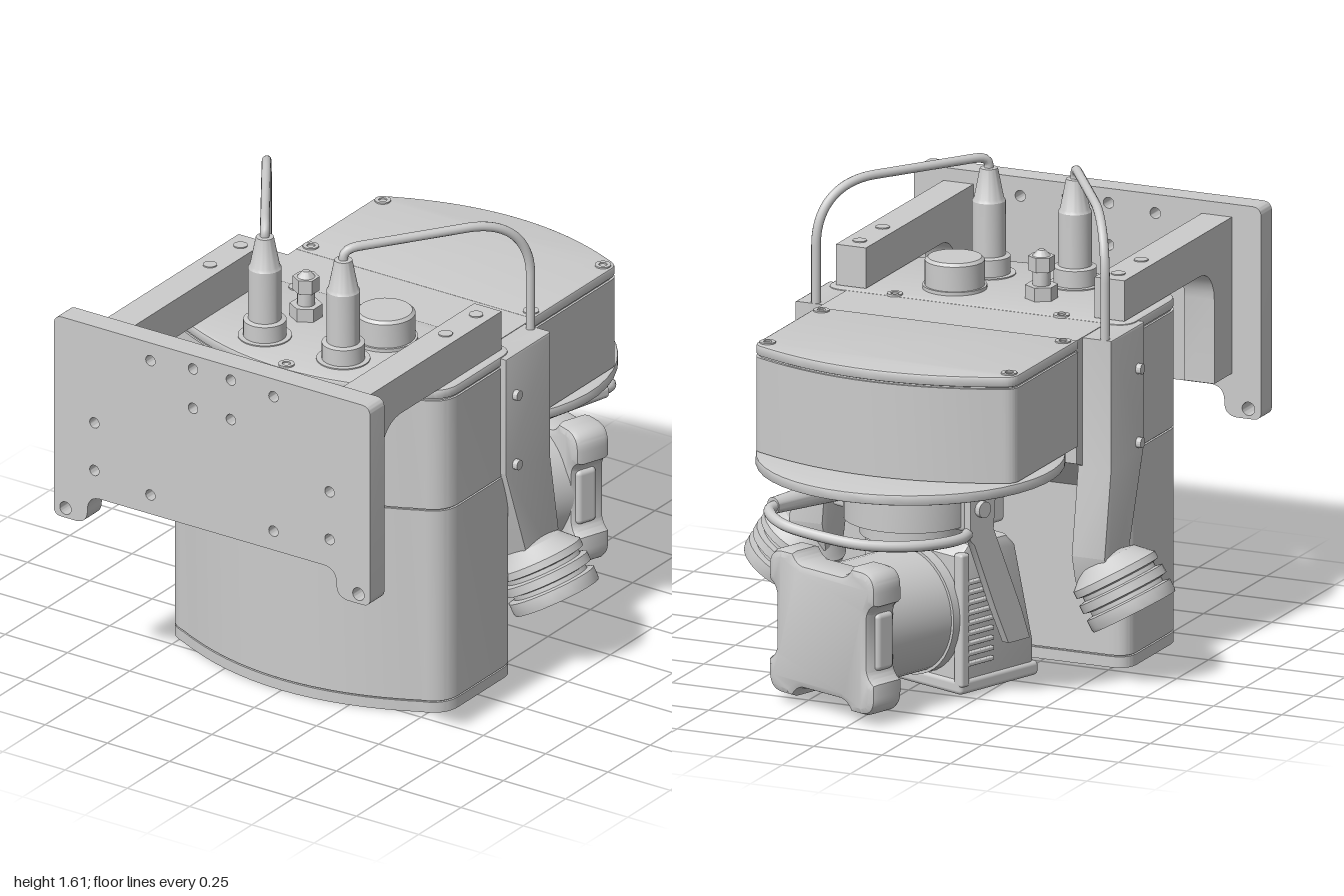
import * as THREE from 'three';
import { toCreasedNormals } from 'three/addons/utils/BufferGeometryUtils.js';
import { RoundedBoxGeometry } from 'three/addons/geometries/RoundedBoxGeometry.js';

export function createModel() {
  const model = new THREE.Group();
  const mat = new THREE.MeshStandardMaterial({ color: 0xcccccc });
  const V = (x, y, z) => new THREE.Vector3(x, y, z);

  const add = (name, geo, x = 0, y = 0, z = 0, parent = model) => {
    const m = new THREE.Mesh(geo, mat);
    m.name = name;
    m.position.set(x, y, z);
    parent.add(m);
    return m;
  };
  const extrude = (shape, depth, bevel = 0) => {
    const g = new THREE.ExtrudeGeometry(shape, {
      depth: depth - 2 * bevel, bevelEnabled: bevel > 0, bevelSize: bevel, bevelThickness: bevel,
      bevelOffset: -bevel, bevelSegments: 2, curveSegments: 16,
    });
    g.translate(0, 0, bevel);
    return toCreasedNormals(g, 0.5);
  };
  // Footprint (x, -z) raised from y0 to y1
  const slab = (name, shape, y0, y1, bevel = 0) =>
    add(name, extrude(shape, y1 - y0, bevel).rotateX(-Math.PI / 2), 0, y0, 0);
  // Side profile of [z, y] points, extruded to a given width centred on x
  const profile = (name, pts, x, width, bevel = 0, parent = model) => {
    const s = new THREE.Shape(pts.map(([z, y]) => new THREE.Vector2(-z, y)));
    return add(name, extrude(s, width, bevel).rotateY(Math.PI / 2), x - width / 2, 0, 0, parent);
  };
  const cyl = (name, r0, r1, h, x, y, z, seg = 32, parent = model) =>
    add(name, toCreasedNormals(new THREE.CylinderGeometry(r1, r0, h, seg), 0.6), x, y + h / 2, z, parent);
  const lathe = (name, pts, x, y, z, parent = model) =>
    add(name, toCreasedNormals(new THREE.LatheGeometry(pts.map(p => new THREE.Vector2(...p)), 40), 0.5), x, y, z, parent);
  const hole = (shape, x, y, r) => shape.holes.push(new THREE.Path().absarc(x, y, r, 0, Math.PI * 2, true));
  const mirrored = fn => [-1, 1].forEach(fn);

  // Mounting plate with two lower tabs and drilled holes
  const plate = new THREE.Shape();
  plate.moveTo(-0.6, 1.375).quadraticCurveTo(-0.635, 1.375, -0.635, 1.34).lineTo(-0.635, 0.67);
  plate.quadraticCurveTo(-0.635, 0.64, -0.605, 0.64).lineTo(-0.55, 0.64).quadraticCurveTo(-0.5, 0.64, -0.5, 0.69);
  plate.quadraticCurveTo(-0.5, 0.745, -0.445, 0.745).lineTo(0.445, 0.745).quadraticCurveTo(0.5, 0.745, 0.5, 0.69);
  plate.quadraticCurveTo(0.5, 0.64, 0.55, 0.64).lineTo(0.605, 0.64).quadraticCurveTo(0.635, 0.64, 0.635, 0.67);
  plate.lineTo(0.635, 1.34).quadraticCurveTo(0.635, 1.375, 0.6, 1.375);
  mirrored(s => {
    [[0.247, 1.31], [0.076, 1.325], [0.076, 1.18], [0.472, 1.02], [0.472, 0.845], [0.247, 0.815]]
      .forEach(([x, y]) => hole(plate, s * x, y, 0.019));
    hole(plate, s * 0.588, 0.675, 0.023);
  });
  add('mountingPlate', extrude(plate, 0.085), 0, 0, 0.915);

  // Angle brackets with a filleted inner corner
  const fillet = [0, 1, 2, 3, 4, 5, 6].map(i => {
    const a = i / 6 * Math.PI / 2;
    return [0.665 + 0.11 * Math.sin(a), 1.08 + 0.11 * Math.cos(a)];
  });
  mirrored(s => {
    profile('bracket', [[0.915, 1.33], [0.065, 1.33], [0.065, 1.19], ...fillet, [0.775, 0.79], [0.915, 0.79]],
      s * 0.473, 0.11);
    [0.135, 0.315].forEach(z => cyl('bracketBolt', 0.024, 0.024, 0.006, s * 0.473, 1.328, z, 16));
  });

  // Main housing: flat back, bowed front
  const footprint = (k = 0) => {
    const s = new THREE.Shape(), w = 0.558 - k, b = -0.03 - k;
    s.moveTo(-w + 0.07, b).quadraticCurveTo(-w, b, -w, b - 0.07).lineTo(-w, -0.36);
    s.quadraticCurveTo(-w, -0.44 + k, -0.48, -0.465 + k).quadraticCurveTo(0, -0.715 + k, 0.48, -0.465 + k);
    s.quadraticCurveTo(w, -0.44 + k, w, -0.36).lineTo(w, b - 0.07).quadraticCurveTo(w, b, w - 0.07, b);
    return s;
  };
  slab('housingCore', footprint(0.008), 0.035, 1.17);
  slab('lowerHousing', footprint(), 0.043, 0.742);
  slab('upperHousing', footprint(), 0.748, 1.147);
  slab('housingLid', footprint(), 1.152, 1.188, 0.008);

  // Base plate with four recessed windows
  const base = footprint();
  const windows = [[0.32, 0.25, 0.195], [-0.32, 0.25, 0.195], [0, 0.165, 0.118], [0, 0.43, 0.118]];
  windows.forEach(([x, z, r]) => hole(base, x, -z, r));
  slab('basePlate', base, 0, 0.038);
  windows.forEach(([x, z, r]) =>
    add('windowRim', new THREE.TorusGeometry(r - 0.005, 0.01, 8, 40).rotateX(Math.PI / 2), x, 0.012, z));

  // Neck and rear head
  profile('neck', [[0.05, 1.185], [-0.2, 1.185], [-0.2, 0.76], [-0.12, 0.73], [0.05, 0.6]], 0, 0.95);
  const headShape = k => {
    const s = new THREE.Shape(), w = 0.478 - k;
    s.moveTo(-w, 0.195).lineTo(w, 0.195).lineTo(w, 0.66 - k).quadraticCurveTo(w, 0.695 - k, w - 0.04, 0.71 - k);
    s.quadraticCurveTo(0, 0.91 - k, -w + 0.04, 0.71 - k).quadraticCurveTo(-w, 0.695 - k, -w, 0.66 - k);
    return s;
  };
  slab('rearHead', headShape(0), 0.82, 1.145);
  slab('rearHeadSeam', headShape(0.008), 1.14, 1.16);
  slab('rearHeadLid', headShape(0), 1.15, 1.188, 0.008);

  // Flat disc under the head, cut straight at the neck
  const disc = new THREE.Shape();
  const cut = Math.asin(0.285 / 0.515);
  disc.absarc(0, 0.485, 0.515, -cut, Math.PI + cut, false);
  slab('disc', disc, 0.778, 0.815, 0.006);
  slab('headFloor', headShape(0.02), 0.81, 0.825);

  // Lid screws
  const screws = [[0, 0.56]];
  mirrored(s => screws.push([s * 0.442, -0.66], [s * 0.442, -0.235], [s * 0.305, 0.05]));
  screws.forEach(([x, z]) => lathe('lidScrew', [[0.027, 0], [0.027, 0.014], [0.014, 0.014], [0.014, 0.009], [0, 0.009]], x, 1.179, z));

  // Plugs and cables on top
  [[-0.185, -0.55], [0.13, 0.508]].forEach(([px, ex]) => {
    lathe('plug', [[0.09, 0], [0.09, 0.012], [0.072, 0.012], [0.072, 0.07], [0.056, 0.075], [0.056, 0.26],
      [0.05, 0.27], [0.03, 0.372], [0, 0.375]], px, 1.18, 0.415);
    const path = new THREE.CurvePath();
    const at = (t, y) => V(px + (ex - px) * t, y, 0.415 - 0.55 * t);
    path.add(new THREE.LineCurve3(at(0, 1.53), at(0, 1.56)));
    path.add(new THREE.QuadraticBezierCurve3(at(0, 1.56), at(0, 1.592), at(0.09, 1.592)));
    path.add(new THREE.LineCurve3(at(0.09, 1.592), at(0.66, 1.592)));
    path.add(new THREE.CubicBezierCurve3(at(0.66, 1.592), at(0.88, 1.592), at(1, 1.51), at(1, 1.38)));
    path.add(new THREE.LineCurve3(at(1, 1.38), at(1, 1.17)));
    add('cable', new THREE.TubeGeometry(path, 70, 0.016, 12));
  });

  // Round knob and hexagonal valve
  lathe('knob', [[0.108, 0], [0.108, 0.015], [0.1, 0.015], [0.1, 0.1], [0.09, 0.11], [0, 0.11]], 0.16, 1.185, 0.21);
  cyl('valveBase', 0.055, 0.055, 0.05, -0.155, 1.185, 0.215, 6);
  cyl('valveStem', 0.03, 0.03, 0.07, -0.155, 1.23, 0.215, 20);
  cyl('valveCap', 0.045, 0.045, 0.05, -0.155, 1.285, 0.215, 6);
  cyl('valveTip', 0.03, 0.012, 0.02, -0.155, 1.335, 0.215, 20);

  // Side lamps on tapered arms
  mirrored(s => {
    profile('lampArm', [[0.115, 1.183], [-0.15, 1.183], [-0.15, 0.73], [-0.2, 0.44], [-0.17, 0.34], [-0.03, 0.34],
      [0, 0.44], [0.115, 0.76]], s * 0.517, 0.125, 0.008);
    [0.78, 1.035].forEach(y => cyl('armScrew', 0.018, 0.018, 0.035, s * 0.58, y - 0.0175, 0.06, 16).rotation.z = Math.PI / 2);
    const lamp = new THREE.Group();
    lamp.name = 'lamp';
    lamp.position.set(s * 0.64, 0.243, -0.097);
    lamp.rotation.z = s * Math.PI / 6;
    model.add(lamp);
    lathe('lampBody', [[0, 0.03], [0.115, 0.03], [0.125, 0], [0.152, 0], [0.155, 0.01], [0.155, 0.045], [0.132, 0.05],
      [0.132, 0.065], [0.155, 0.07], [0.155, 0.1], [0.132, 0.105], [0.132, 0.12], [0.152, 0.125], [0.152, 0.15],
      [0.14, 0.16], [0.1, 0.2], [0, 0.22]], 0, 0, 0, lamp);
  });

  // Turntable under the disc
  cyl('turntableTop', 0.21, 0.21, 0.025, 0, 0.757, -0.485, 40);
  cyl('turntableCollar', 0.18, 0.2, 0.03, 0, 0.73, -0.485, 40);
  cyl('turntable', 0.225, 0.225, 0.13, 0, 0.6, -0.485, 40);
  cyl('turntableFoot', 0.17, 0.17, 0.06, 0, 0.545, -0.485, 40);

  // Sensor unit, swivelled on the turntable axis
  const sensor = new THREE.Group();
  sensor.name = 'sensor';
  sensor.position.z = -0.485;
  sensor.rotation.y = -Math.PI / 9;
  model.add(sensor);
  const box = (name, w, h, d, r, x, y, z) => add(name, new RoundedBoxGeometry(w, h, d, 2, r), x, y, z, sensor);

  // Yoke holding the sensor
  box('crossBeam', 0.47, 0.14, 0.2, 0.015, 0, 0.655, 0.11);
  mirrored(s => {
    profile('yokePlate', [[0.28, 0.735], [0.02, 0.735], [0.02, 0.56], [0.04, 0.54], [0.14, 0.3], [0.2, 0.17],
      [0.3, 0.17], [0.26, 0.28], [0.13, 0.58], [0.14, 0.71], [0.28, 0.72]], s * 0.245, 0.03, 0, sensor);
    cyl('yokeBolt', 0.028, 0.028, 0.03, s * 0.265, 0.645, 0.07, 20, sensor).rotation.z = Math.PI / 2;
  });

  // Cable socket and the cable looping round the turntable
  box('socket', 0.08, 0.11, 0.12, 0.012, 0.22, 0.66, -0.05);
  cyl('socketSleeve', 0.045, 0.028, 0.34, 0.245, 0.495, -0.23, 24, sensor).rotation.x = -Math.PI / 2;
  const loop = new THREE.CatmullRomCurve3([V(0.245, 0.665, -0.38), V(0.225, 0.66, -0.44), V(0.13, 0.64, -0.475),
    V(0, 0.615, -0.43), V(-0.14, 0.595, -0.35), V(-0.25, 0.585, -0.2), V(-0.27, 0.58, -0.03), V(-0.2, 0.58, 0.08)]);
  add('sensorCable', new THREE.TubeGeometry(loop, 60, 0.019, 12), 0, 0, 0, sensor);

  // Sensor body with foot and cooling ribs
  profile('sensorBody', [[0.365, 0.04], [0.365, 0.14], [0.28, 0.49], [0.24, 0.53], [0.06, 0.53], [0.02, 0.49],
    [0.02, 0.04]], 0, 0.43, 0.015, sensor);
  box('sensorFoot', 0.45, 0.05, 0.37, 0.015, 0, 0.043, 0.195);
  mirrored(s => {
    for (let i = 0; i < 9; i++) box('coolingRib', 0.02, 0.014, 0.13, 0.004, s * 0.22, 0.12 + i * 0.035, 0.1);
    box('bodyFlange', 0.04, 0.46, 0.04, 0.01, s * 0.21, 0.275, 0.03);
  });

  // Sensor barrel and lobed end cap
  cyl('barrelFlange', 0.222, 0.222, 0.05, 0, 0.255, 0.005, 40, sensor).rotation.x = Math.PI / 2;
  cyl('barrel', 0.212, 0.212, 0.34, 0, 0.11, -0.15, 40, sensor).rotation.x = Math.PI / 2;
  const cap = new THREE.Shape();
  for (let i = 0; i < 4; i++) {
    const c = Math.cos(i * Math.PI / 2), n = Math.sin(i * Math.PI / 2);
    const p = (x, y) => [x * c - y * n, x * n + y * c];
    if (i === 0) cap.moveTo(...p(0.215, -0.09));
    else cap.lineTo(...p(0.215, -0.09));
    cap.lineTo(...p(0.215, 0.09));
    cap.quadraticCurveTo(...p(0.22, 0.12), ...p(0.25, 0.135));
    cap.lineTo(...p(0.25, 0.18));
    cap.quadraticCurveTo(...p(0.25, 0.25), ...p(0.18, 0.25));
    cap.lineTo(...p(0.135, 0.25));
    cap.quadraticCurveTo(...p(0.12, 0.22), ...p(0.09, 0.215));
  }
  add('endCap', extrude(cap, 0.14, 0.025), 0, 0.28, -0.425, sensor);
  mirrored(s => box('capInsert', 0.04, 0.2, 0.08, 0.018, s * 0.21, 0.28, -0.345));
  return model;
}
